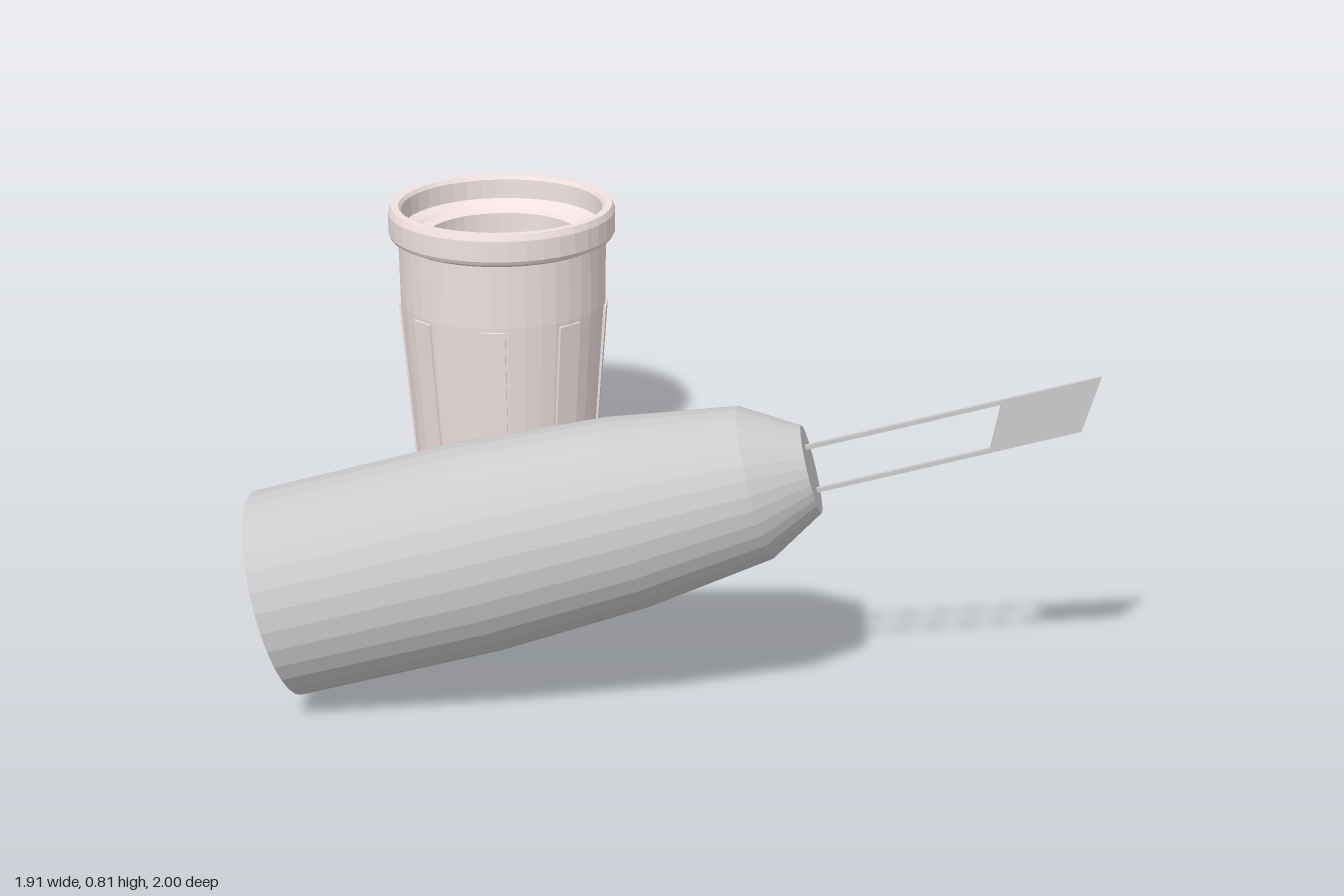
import * as THREE from 'three';

const material = (color) => new THREE.MeshStandardMaterial({ color, flatShading: true });

function part(name, geometry, mat) {
  const mesh = new THREE.Mesh(geometry, mat);
  mesh.name = name;
  return mesh;
}

// Profiles are [radius, height] pairs, walked so the surface faces outward
const lathe = (profile, segments) =>
  new THREE.LatheGeometry(profile.map(([r, y]) => new THREE.Vector2(r, y)), segments);

function createCup() {
  const cup = new THREE.Group();
  cup.name = 'cup';
  const mat = material(0xf0e2e0);

  // Base flange, tapered wall, heavy rim, stepped lip and hollow inside
  cup.add(part('cupBody', lathe([
    [0, 0], [0.25, 0.01], [0.252, 0.028], [0.241, 0.036],
    [0.275, 0.5], [0.277, 0.67],
    [0.297, 0.68], [0.302, 0.69], [0.302, 0.745], [0.295, 0.762],
    [0.275, 0.762], [0.268, 0.752], [0.266, 0.7],
    [0.242, 0.69], [0.23, 0.682], [0.205, 0.675],
    [0.205, 0.04], [0, 0.04],
  ], 40), mat));

  // Eight shallow ribs leaning with the wall
  const ribs = new THREE.Group();
  ribs.name = 'cupRibs';
  for (let i = 0; i < 8; i++) {
    const geometry = new THREE.BoxGeometry(0.065, 0.44, 0.02);
    geometry.rotateX(0.078).translate(0, 0.27, 0.2515);
    geometry.rotateY((i * Math.PI) / 4);
    ribs.add(part('cupRib', geometry, mat));
  }
  cup.add(ribs);
  cup.position.set(-0.53, 0, -0.7);
  return cup;
}

function createKnife() {
  const knife = new THREE.Group();
  knife.name = 'knife';
  const mat = material(0xcccccc);

  // Hollow handle, open at the back and closed at the nose, running along +x
  const handle = lathe([
    [0, 1.22], [0.08, 1.22], [0.15, 1.11], [0.192, 0.83], [0.212, 0.476], [0.21, 0],
    [0.24, 0], [0.242, 0.476], [0.22, 0.832], [0.176, 1.13], [0.101, 1.258], [0, 1.258],
  ], 32).rotateZ(-Math.PI / 2);
  knife.add(part('handle', handle, mat));

  // Slanted blade tip
  const tip = new THREE.Shape([
    [1.652, -0.056], [1.861, -0.056], [1.933, 0.059], [1.708, 0.059],
  ].map(([x, y]) => new THREE.Vector2(x, y)));
  const blade = new THREE.ExtrudeGeometry(tip, { depth: 0.008, bevelEnabled: false });
  knife.add(part('blade', blade.translate(0, 0, -0.004), mat));

  // Two slim rods joining blade and handle
  for (const [name, y, end] of [['upperRod', 0.054, 1.71], ['lowerRod', -0.051, 1.66]]) {
    const rod = new THREE.BoxGeometry(end - 1.23, 0.01, 0.01);
    knife.add(part(name, rod.translate((end + 1.23) / 2, y, 0), mat));
  }

  knife.position.set(-0.897, 0.2525, 0.76);
  knife.rotation.z = THREE.MathUtils.degToRad(15);
  return knife;
}

export function createModel() {
  const model = new THREE.Group();
  model.name = 'cupAndKnife';
  model.add(createCup(), createKnife());
  return model;
}
